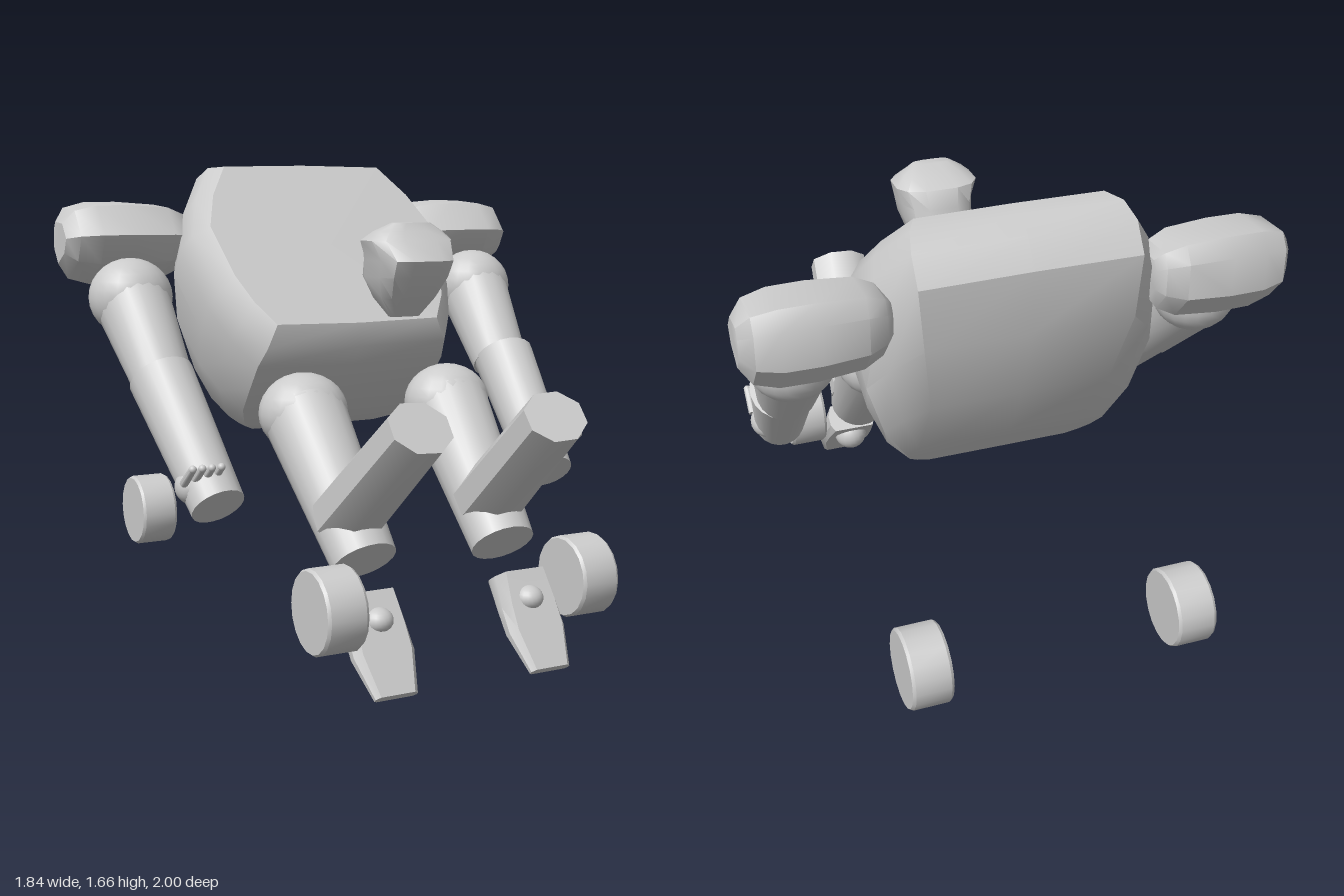
import * as THREE from 'three';
import { toCreasedNormals } from 'three/addons/utils/BufferGeometryUtils.js';

const V = (x, y, z) => new THREE.Vector3(x, y, z);
const material = new THREE.MeshStandardMaterial({ color: 0xcccccc });

function add(parent, name, geometry, position) {
  const mesh = new THREE.Mesh(geometry, material);
  mesh.name = name;
  if (position) mesh.position.copy(position);
  parent.add(mesh);
  return mesh;
}

// Closed skin over a list of rings with equal point counts, always facing outward
function loft(rings, crease = 0.6) {
  const n = rings[0].length, pts = rings.flat(), index = [];
  for (let r = 0; r < rings.length - 1; r++)
    for (let i = 0; i < n; i++) {
      const a = r * n + i, b = r * n + (i + 1) % n;
      index.push(a, b, b + n, a, b + n, a + n);
    }
  const cap = (start, flip) => {
    const c = V(0, 0, 0);
    for (let i = 0; i < n; i++) c.addScaledVector(pts[start + i], 1 / n);
    const k = pts.push(c) - 1;
    for (let i = 0; i < n; i++) {
      const a = start + i, b = start + (i + 1) % n;
      index.push(k, ...(flip ? [b, a] : [a, b]));
    }
  };
  cap(0, true);
  cap((rings.length - 1) * n, false);
  let volume = 0;
  for (let i = 0; i < index.length; i += 3)
    volume += pts[index[i]].dot(pts[index[i + 1]].clone().cross(pts[index[i + 2]]));
  if (volume < 0) index.reverse();
  const g = new THREE.BufferGeometry().setFromPoints(pts);
  g.setIndex(index);
  return toCreasedNormals(g, crease);
}

// Tapered cylinder from a to b; wide scales it along x
function limb(parent, name, a, b, ra, rb, sides = 20, wide = 1) {
  const dir = b.clone().sub(a);
  const g = new THREE.CylinderGeometry(rb, ra, dir.length(), sides);
  if (sides < 12) g.rotateY(Math.PI / sides);
  g.scale(wide, 1, 1);
  const mesh = add(parent, name, toCreasedNormals(g, 0.8), a.clone().lerp(b, 0.5));
  mesh.quaternion.setFromUnitVectors(V(0, 1, 0), dir.normalize());
}

function ball(parent, name, center, rx, ry = rx, rz = rx) {
  add(parent, name, new THREE.SphereGeometry(1, 20, 14).scale(rx, ry, rz), center);
}

// Leaning torso: sections parallel to the flat chest, running towards the back
function torso() {
  const half = [[0.71, 1], [0.89, 0.62], [1, 0.22], [0.93, -0.39], [0.84, -0.72], [0.71, -1]];
  const outline = [...half, [0, -1.02], ...half.map(([x, y]) => [-x, y]).reverse(), [0, 1.02]];
  const sections = [ // depth, low edge, high edge, half width
    [0, -0.36, 0.36, 0.45], [0.06, -0.42, 0.405, 0.5], [0.14, -0.44, 0.42, 0.525],
    [0.25, -0.46, 0.39, 0.525], [0.39, -0.46, 0.225, 0.5], [0.5, -0.46, -0.03, 0.44],
    [0.56, -0.44, -0.23, 0.36]];
  return loft(sections.map(([d, lo, hi, w]) => outline.map(([x, y]) => {
    const u = (lo + hi) / 2 + y * (hi - lo) / 2;
    return V(x * w, 1.385 - 0.65 * d + 0.76 * u, -0.155 - 0.76 * d - 0.65 * u);
  })));
}

// Faceted head: height, back z, front z, half width
function head() {
  const sections = [
    [1.155, 0.39, 0.43, 0.055], [1.22, 0.335, 0.49, 0.105], [1.29, 0.28, 0.55, 0.13],
    [1.345, 0.295, 0.58, 0.135], [1.41, 0.32, 0.525, 0.155], [1.44, 0.37, 0.493, 0.12],
    [1.468, 0.43, 0.475, 0.07]];
  const outline = [];
  for (let i = 0; i < 12; i++) {
    const t = (i + 0.5) / 12 * Math.PI * 2, c = Math.cos(t), s = Math.sin(t);
    const soft = (v) => Math.sign(v) * Math.abs(v) ** 0.7;
    outline.push([soft(c), Math.min(soft(s), 0.95) / 0.97]);
  }
  return loft(sections.map(([y, z0, z1, w]) => outline.map(([x, z]) =>
    V(x * w - 0.005, y, (z0 + z1) / 2 + z * (z1 - z0) / 2))), 0.7);
}

// Shoulder pad: one angular profile in z and y, shrinking towards both ends
function shoulder(s) {
  const profile = [[0.155, 0.025], [0.065, 0.13], [-0.11, 0.14], [-0.15, 0.08],
    [-0.15, -0.055], [-0.06, -0.16], [0.1, -0.08]];
  const sections = [[0.44, 0.5], [0.465, 0.72], [0.53, 0.92], [0.68, 1], [0.8, 0.99], [0.88, 0.85], [0.92, 0.5]];
  return loft(sections.map(([x, k]) => profile.map(([z, y]) => V(s * x, 1.39 + y * k, -0.48 + z * k))), 0.65);
}

// Wedge foot, thick at the heel: upper and lower edge points and half width
function foot(s) {
  const sections = [
    [0.72, 0.32, 0.62, 0.26, 0.092], [0.775, 0.225, 0.705, 0.175, 0.105],
    [0.82, 0.15, 0.765, 0.112, 0.108], [0.89, 0.03, 0.865, 0.008, 0.075]];
  return loft(sections.map(([z1, y1, z0, y0, w]) => [
    [-0.8, 1], [0.8, 1], [1, 0.6], [1, 0.25], [0.85, 0], [-0.85, 0], [-1, 0.25], [-1, 0.6]]
    .map(([x, t]) => V(s * 0.288 + x * w, y0 + t * (y1 - y0), z0 + t * (z1 - z0)))), 0.6);
}

// Wheel with a small bevel, axle along x
function wheel() {
  const profile = [[0, -0.07], [0.13, -0.07], [0.137, -0.06], [0.137, 0.06], [0.13, 0.07], [0, 0.07]];
  const g = new THREE.LatheGeometry(profile.map(([r, y]) => new THREE.Vector2(r, y)), 18);
  return toCreasedNormals(g.rotateZ(Math.PI / 2), 0.5);
}

export function createModel() {
  const model = new THREE.Group();
  add(model, 'torso', torso());
  add(model, 'head', head());

  for (const s of [-1, 1]) {
    const side = s > 0 ? 'left' : 'right';
    const arm = new THREE.Group(), leg = new THREE.Group();
    arm.name = side + 'Arm';
    leg.name = side + 'Leg';
    model.add(arm, leg);

    // Arm
    add(arm, 'shoulderPad', shoulder(s));
    const joint = V(s * 0.715, 1.195, -0.315), elbow = V(s * 0.69, 0.92, -0.065);
    ball(arm, 'upperArmBall', joint, 0.15, 0.14, 0.14);
    limb(arm, 'upperArm', joint, elbow, 0.136, 0.105);
    limb(arm, 'forearm', V(s * 0.7, 0.935, -0.055), V(s * 0.65, 0.55, 0.325), 0.114, 0.092);

    // Hand
    ball(arm, 'fist', V(s * 0.71, 0.61, 0.255), 0.06, 0.06, 0.065);
    for (let i = 0; i < 4; i++) {
      const x = s * (0.655 + i * 0.033);
      const a = V(x, 0.63, 0.29), b = V(x, 0.69, 0.37);
      limb(arm, 'finger', a, b, 0.015, 0.013, 12);
      ball(arm, 'fingertip', b, 0.013);
    }

    // Leg
    const hip = V(s * 0.285, 0.82, 0.21);
    ball(leg, 'thighBall', hip, 0.157, 0.138, 0.14);
    limb(leg, 'thigh', hip, V(s * 0.265, 0.39, 0.62), 0.14, 0.105, 20, 1.06);
    limb(leg, 'shin', V(s * 0.272, 0.512, 0.51), V(s * 0.245, 0.87, 0.9425), 0.112, 0.096, 8, 1.17);

    // Foot with ankle ball and instep bump
    add(leg, 'foot', foot(s));
    ball(leg, 'ankleBall', V(s * 0.285, 0.185, 0.705), 0.065);
    ball(leg, 'instepBump', V(s * 0.285, 0.23, 0.75), 0.05, 0.042, 0.05);

    // Wheels
    add(model, side + 'FrontWheel', wheel(), V(s * 0.467, 0.293, 0.773));
    add(model, side + 'BackWheel', wheel(), V(s * 0.467, 0.293, -0.863));
  }
  return model;
}
